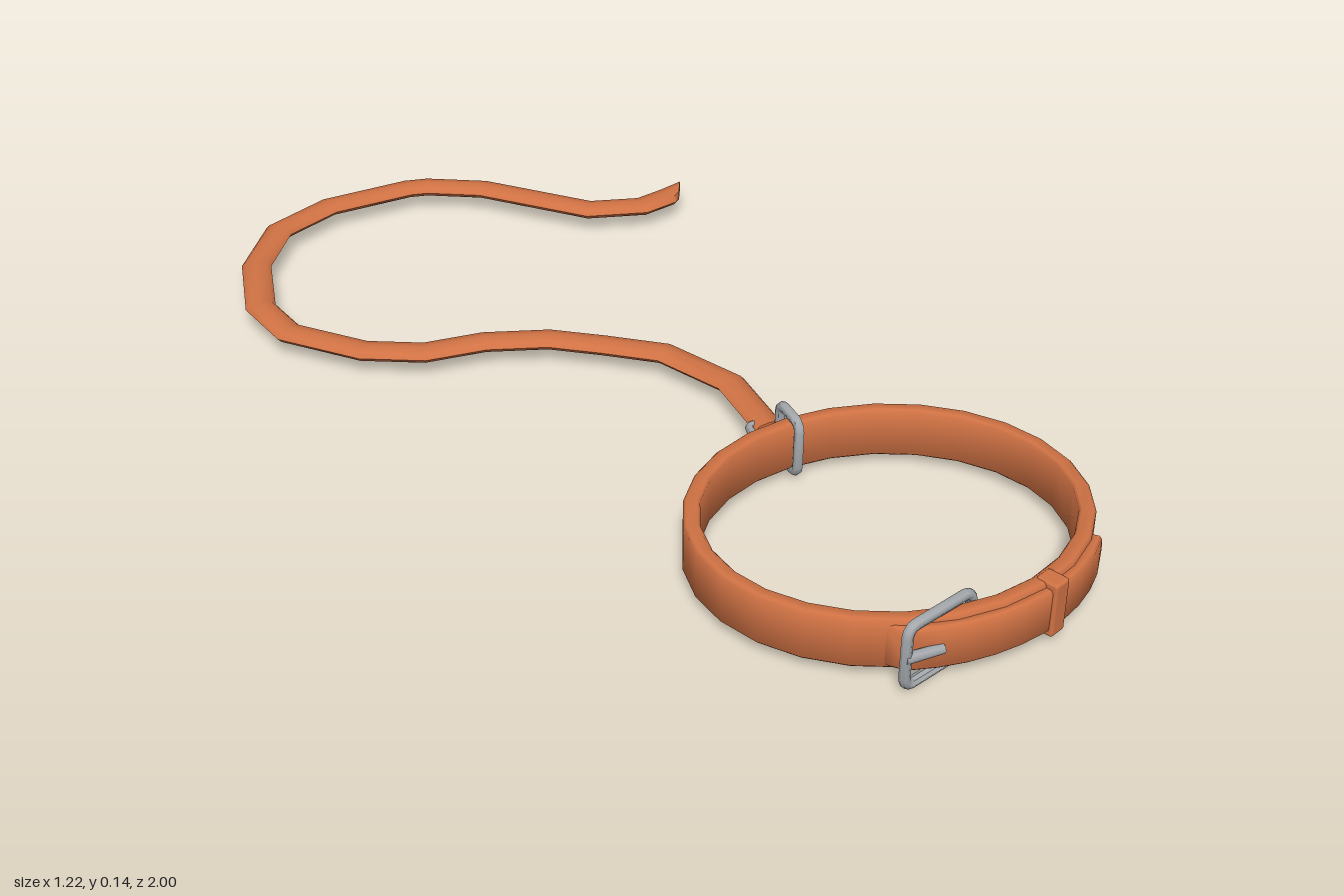
import * as THREE from 'three';
import { toCreasedNormals } from 'three/addons/utils/BufferGeometryUtils.js';
import { RoundedBoxGeometry } from 'three/addons/geometries/RoundedBoxGeometry.js';

const leather = new THREE.MeshStandardMaterial({ color: 0xd07244 });
const metal = new THREE.MeshStandardMaterial({ color: 0xa4a8ac });

// Elliptical cross-section, [across, up]
const oval = (a, b, n = 8) => Array.from({ length: n }, (_, i) => {
  const t = (i / n) * Math.PI * 2;
  return [a * Math.cos(t), b * Math.sin(t)];
});

// Strap cross-section with bevelled corners
const strap = (a, b, c) => [
  [a, c - b], [a, b - c], [a - c, b], [c - a, b],
  [-a, b - c], [-a, c - b], [c - a, -b], [a - c, -b],
];

// Sweeps a section along a level path of [x, z, heightScale] with mitred joints
function sweep(path, section, closed, crease = 0.9, endDir = null) {
  const n = path.length, m = section.length, pos = [], index = [];
  const pts = path.map(p => new THREE.Vector2(p[0], p[1]));
  const dir = i => pts[(i + 1) % n].clone().sub(pts[(i + n) % n]).normalize();
  for (let i = 0; i < n; i++) {
    const before = closed || i > 0 ? dir((i - 1 + n) % n) : dir(0);
    const after = closed || i < n - 1 ? dir(i) : before;
    let t = before.clone().add(after).normalize();
    let mitre = 1 / Math.max(0.5, t.dot(after));
    if (endDir && i === n - 1) { t = endDir.clone().normalize(); mitre = 1.1; }
    for (const [u, v] of section) {
      pos.push(pts[i].x - t.y * u * mitre, v * (path[i][2] ?? 1), pts[i].y + t.x * u * mitre);
    }
  }
  for (let i = 0; i < (closed ? n : n - 1); i++) {
    const k = (i + 1) % n;
    for (let j = 0; j < m; j++) {
      const a = i * m + j, b = i * m + (j + 1) % m, c = k * m + j, d = k * m + (j + 1) % m;
      index.push(a, c, b, b, c, d);
    }
  }
  if (!closed) {
    const e = (n - 1) * m;
    for (let j = 1; j < m - 1; j++) index.push(0, j, j + 1, e, e + j + 1, e + j);
  }
  const g = new THREE.BufferGeometry();
  g.setAttribute('position', new THREE.Float32BufferAttribute(pos, 3));
  g.setIndex(index);
  return toCreasedNormals(g, crease);
}

// Closed wire frame with rounded corners, lying level
function wireFrame(w, d, corner, r) {
  const path = [];
  const corners = [[1, 1], [-1, 1], [-1, -1], [1, -1]];
  corners.forEach(([sx, sz], q) => {
    for (let k = 0; k <= 3; k++) {
      const t = (q + k / 3) * Math.PI / 2;
      path.push([
        sx * (w / 2 - r - corner) + corner * Math.cos(t),
        sz * (d / 2 - r - corner) + corner * Math.sin(t),
      ]);
    }
  });
  return sweep(path, oval(r, r), true, 1.2);
}

// Points on the collar's oval between two angles in degrees
const CX = 0.237, CZ = 0.65;
const arc = (rx, rz, from, to, n, closed) => Array.from({ length: n }, (_, i) => {
  const t = THREE.MathUtils.degToRad(from + (to - from) * i / (closed ? n : n - 1));
  return [CX + rx * Math.cos(t), CZ + rz * Math.sin(t)];
});

export function createModel() {
  const model = new THREE.Group();
  const add = (name, geometry, material, x = 0, y = 0, z = 0) => {
    const mesh = new THREE.Mesh(geometry, material);
    mesh.name = name;
    mesh.position.set(x, y, z);
    model.add(mesh);
    return mesh;
  };

  // Collar band
  add('collarBand', sweep(arc(0.355, 0.311, 0, 360, 26, true), strap(0.015, 0.05, 0.005), true),
    leather, 0, 0.07, 0);

  // Loose strap end lying over the band, with a pointed tip
  const end = arc(0.375, 0.33, 110, 39, 10, false);
  end.push([CX + 0.375 * Math.cos(0.62), CZ + 0.33 * Math.sin(0.62), 0.25]);
  end.unshift([0.085, 0.935]);
  add('strapEnd', sweep(end, strap(0.011, 0.043, 0.005), false), leather, 0, 0.068, 0);

  // Keeper loop around both straps
  const keeper = add('keeperLoop', new RoundedBoxGeometry(0.038, 0.108, 0.045, 2, 0.006),
    leather, 0.387, 0.069, 0.946);
  keeper.rotation.y = 0.4;

  // Buckle frame, standing upright across the band
  const buckle = add('buckleFrame', wireFrame(0.175, 0.14, 0.018, 0.01), metal, 0.165, 0.07, 0.96);
  buckle.rotation.set(Math.PI / 2, 0.33, 0, 'YXZ');

  // Buckle prong
  const prong = add('buckleProng', new THREE.CylinderGeometry(0.009, 0.011, 0.072, 8),
    metal, 0.125, 0.07, 0.986);
  prong.rotation.z = -Math.PI / 2;

  // Upright ring around the back of the band
  const ring = add('collarRing', wireFrame(0.13, 0.1, 0.018, 0.01), metal, 0.2, 0.072, 0.33);
  ring.rotation.z = Math.PI / 2;

  // Level ring joining collar and leash
  add('leashRing', wireFrame(0.092, 0.09, 0.014, 0.008), metal, 0.2, 0.047, 0.265);

  // Winding leash with a slanted cut end
  const leash = [
    [0.2, 0.25], [0.2, 0.075], [0.125, -0.08], [0.025, -0.155], [-0.07, -0.22], [-0.195, -0.26],
    [-0.32, -0.267], [-0.43, -0.32], [-0.55, -0.445], [-0.577, -0.57], [-0.54, -0.745],
    [-0.455, -0.88], [-0.32, -0.95], [-0.13, -0.968], [-0.085, -0.96], [0.03, -0.9],
    [0.12, -0.81], [0.215, -0.715], [0.33, -0.685], [0.4, -0.705], [0.44, -0.725],
  ];
  add('leash', sweep(leash, oval(0.031, 0.0145), false, 0.9, new THREE.Vector2(0.06, 0.03)),
    leather, 0, 0.045, 0);

  return model;
}
